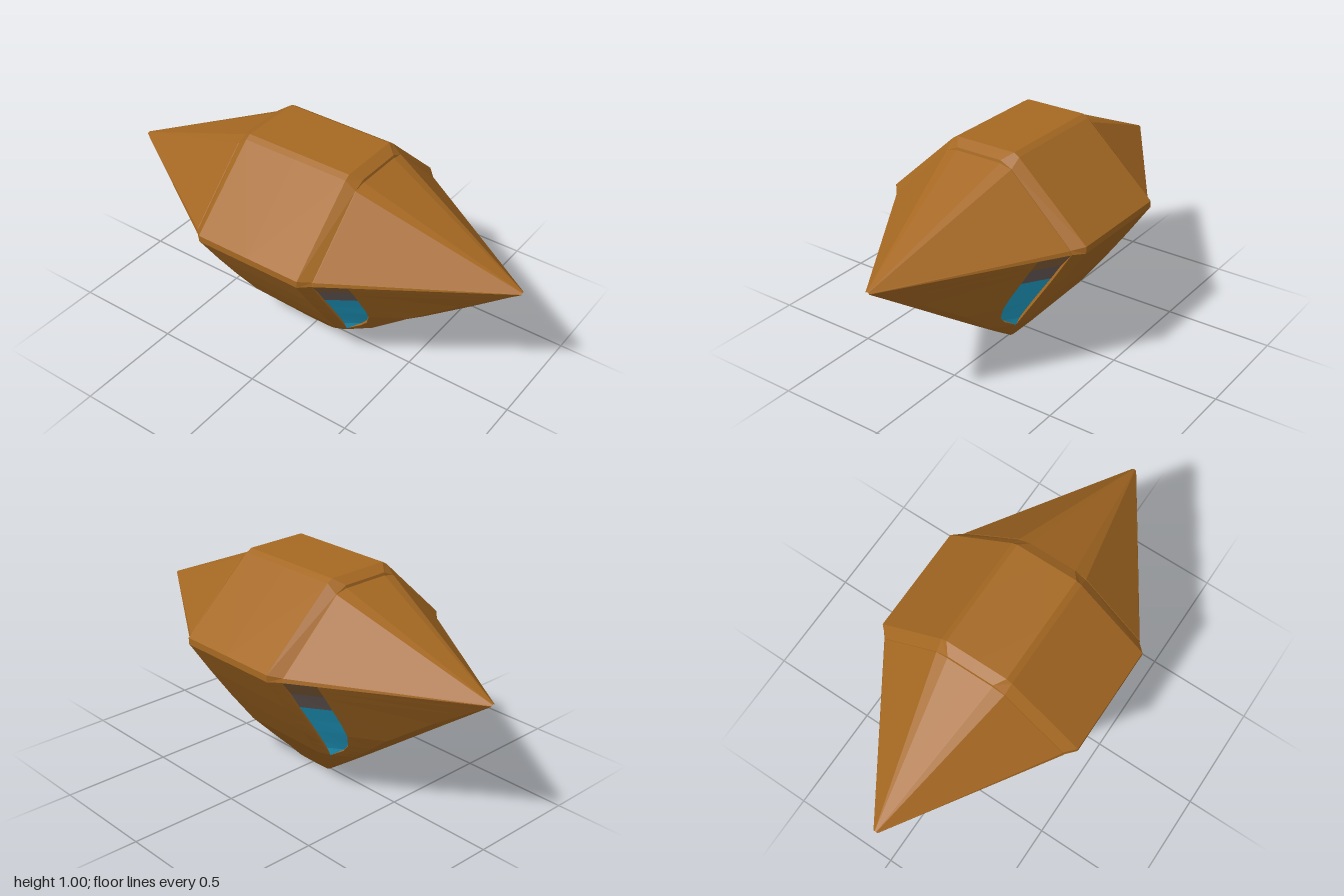
import * as THREE from 'three';

const material = (name, color) => {
  const m = new THREE.MeshStandardMaterial({ color });
  m.name = name;
  return m;
};

// Linear interpolation in a table of rows [y, ...values], y descending
function sample(table, y) {
  let i = 0;
  while (i < table.length - 2 && y < table[i + 1][0]) i++;
  const a = table[i], b = table[i + 1];
  const t = (y - a[0]) / (b[0] - a[0]);
  return a.slice(1).map((v, k) => v + (b[k + 1] - v) * t);
}

// Adds a triangle and its three mirror images, skipping collapsed ones
function addTri(out, a, b, c) {
  const area = new THREE.Triangle(...[a, b, c].map((p) => new THREE.Vector3(...p))).getArea();
  if (area < 1e-8) return;
  for (const sx of [1, -1]) for (const sz of [1, -1]) {
    const tri = sx * sz > 0 ? [a, b, c] : [a, c, b];
    for (const p of tri) out.push(p[0] * sx, p[1], p[2] * sz);
  }
}

function addQuad(out, a, b, c, d) {
  addTri(out, a, b, c);
  addTri(out, a, c, d);
}

function toMesh(name, positions, mat) {
  const g = new THREE.BufferGeometry();
  g.setAttribute('position', new THREE.Float32BufferAttribute(positions, 3));
  g.computeVertexNormals();
  const mesh = new THREE.Mesh(g, mat);
  mesh.name = name;
  return mesh;
}

// Lower hull: y, side x, panel edge x z, keel bevel x z, keel x z
const hullRows = [
  [0.65, 0.5, 0.46, 0.3, 0.01, 1, 0.005, 1],
  [0.5, 0.4, 0.365, 0.293, 0.06, 0.755, 0.035, 0.79],
  [0.35, 0.295, 0.265, 0.285, 0.1, 0.54, 0.05, 0.583],
  [0.2, 0.185, 0.163, 0.27, 0.095, 0.36, 0.045, 0.377],
  [0.1, 0.1, 0.085, 0.2, 0.065, 0.225, 0.04, 0.238],
  [0, 0.015, 0.013, 0.09, 0.01, 0.098, 0.006, 0.1],
];
// Window: y, outer z, depth of the recess
const windowRows = [
  [0.65, 0.42, 0], [0.58, 0.42, 0.015], [0.42, 0.41, 0.018], [0.35, 0.4, 0.018],
  [0.28, 0.37, 0.016], [0.24, 0.335, 0.013], [0.2, 0.272, 0],
];

// A quarter cross-section, from the side around to the keel
function lowerSection(y) {
  const [X, ex, ez, fx, fz, kx, kz] = sample(hullRows, y);
  let [wz, depth] = y >= 0.2 ? sample(windowRows, y) : [ez, 0];
  const t = Math.max(0, (wz - ez) / (fz - ez));
  const wx = ex + (fx - ex) * t;
  wz = ez + (fz - ez) * t;
  const dx = depth * 0.83, dz = depth * 0.55;
  return [
    [X, 0], [X, Math.max(ez - 0.05, 0.06)], [ex, ez], [ex - dx, ez - dz],
    [wx - dx, wz - dz], [wx, wz], [fx, fz], [kx, kz], [0, kz],
  ].map(([x, z]) => [x, y, z]);
}

export function createModel() {
  const group = new THREE.Group();
  const hullMat = material('bronze hull', 0xa56822);
  const fadeMat = material('dull bronze', 0x86603a);
  const greyMat = material('slate grey', 0x6c5e5a);
  const glassMat = material('blue glass', 0x22a6d0);
  const upper = [], lower = [], fade = [], grey = [], glass = [];

  // Upper hull: body prism, bevel, then ridged panels running to the tips
  const outer = [[0.5, 0.65], [0.5, 0.68], [0.17, 0.985], [0.145, 1], [0, 1]];
  const inner = [[0.46, 0.65], [0.455, 0.668], [0.165, 0.948], [0.11, 0.962], [0, 0.962]];
  const tip = [[0.01, 0.65], [0.01, 0.652], [0.005, 0.656], [0.003, 0.657], [0, 0.657]];
  const at = (pts, z) => pts.map(([x, y]) => [x, y, z]);
  const rim = inner.map(([x, y], i) => [x, y + (i > 2 ? 0.012 : 0)]);
  const sections = [at(outer, 0), at(outer, 0.255), at(rim, 0.3), at(inner, 0.303), at(tip, 1)];
  for (let i = 0; i < sections.length - 1; i++) {
    const s = sections[i], n = sections[i + 1];
    for (let j = 0; j < s.length - 1; j++) addQuad(upper, s[j], s[j + 1], n[j + 1], n[j]);
  }

  // Lower hull with recessed window panes (column 3 of each section)
  const ys = [0.65, 0.62, 0.58, 0.5, 0.42, 0.35, 0.28, 0.24, 0.22, 0.2, 0.15, 0.1, 0.05, 0];
  const rows = ys.map(lowerSection);
  for (let i = 0; i < rows.length - 1; i++) {
    const u = rows[i], l = rows[i + 1];
    const pane = ys[i] > 0.58 ? fade : ys[i] > 0.5 ? grey : glass;
    for (let j = 0; j < u.length - 1; j++) {
      addQuad(j === 3 ? pane : lower, u[j], u[j + 1], l[j + 1], l[j]);
    }
  }

  // Small flat base
  const base = rows[rows.length - 1];
  for (let j = 0; j < base.length - 1; j++) addTri(lower, [0, 0, 0], base[j], base[j + 1]);

  group.add(
    toMesh('upperHull', upper, hullMat),
    toMesh('lowerHull', lower, hullMat),
    toMesh('windowTops', fade, fadeMat),
    toMesh('windowBands', grey, greyMat),
    toMesh('windowGlass', glass, glassMat),
  );
  return group;
}
